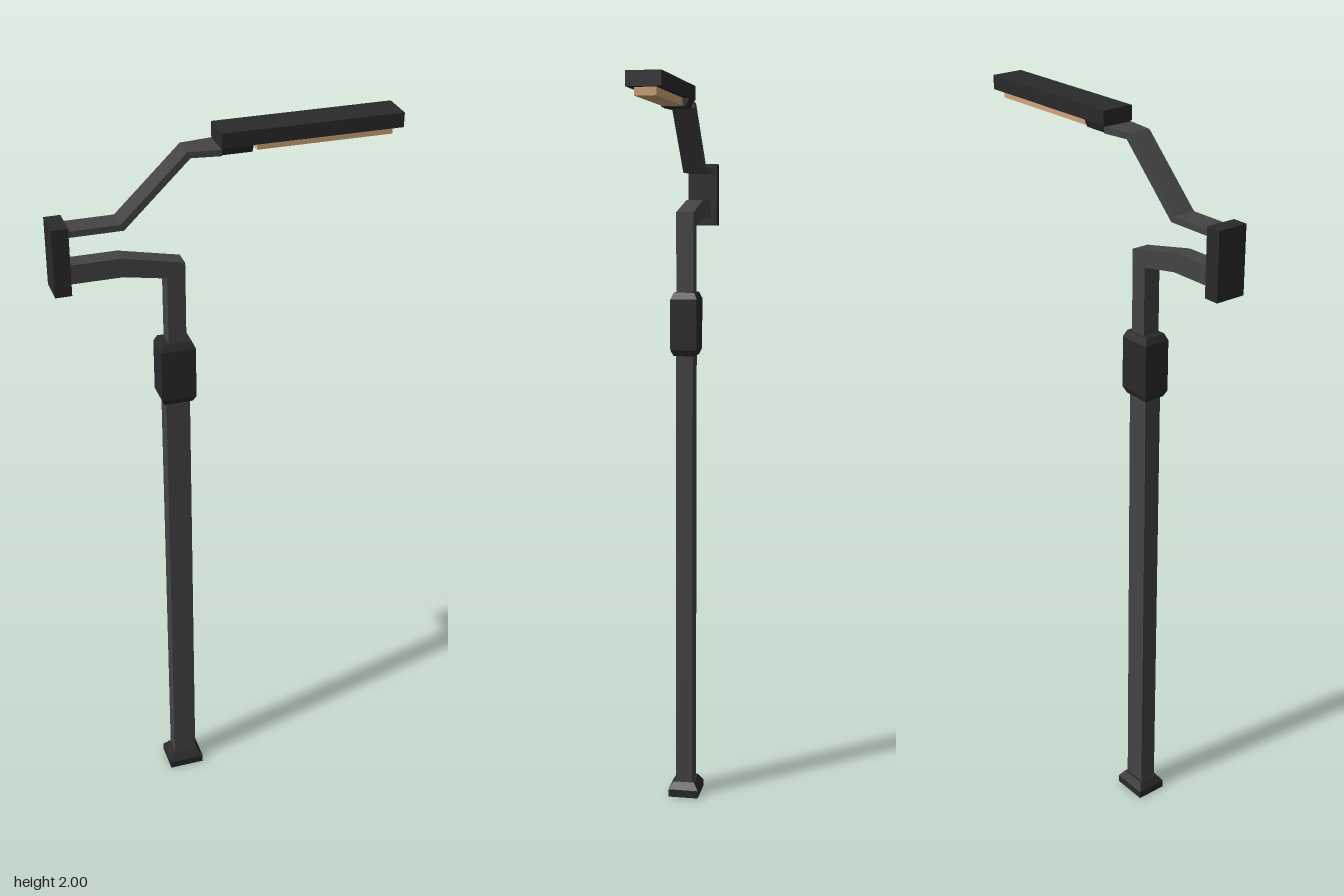
import * as THREE from 'three';

const metal = new THREE.MeshStandardMaterial({ color: 0x444444, flatShading: true });
const dark = new THREE.MeshStandardMaterial({ color: 0x2a2a2a, flatShading: true });
const glow = new THREE.MeshStandardMaterial({ color: 0xd2a679, flatShading: true });

// Lofts a solid through rectangular sections [ax, ay, bx, by, halfDepth];
// a lies on the left of the direction of travel, b on the right.
function loft(sections) {
  const rings = sections.map(([ax, ay, bx, by, hz]) => [
    [ax, ay, -hz], [ax, ay, hz], [bx, by, hz], [bx, by, -hz],
  ]);
  const pos = [];
  const quad = (a, b, c, d) => pos.push(...a, ...b, ...c, ...a, ...c, ...d);
  for (let r = 0; r < rings.length - 1; r++) {
    const lo = rings[r], hi = rings[r + 1];
    for (let i = 0; i < 4; i++) {
      const j = (i + 1) % 4;
      quad(lo[i], lo[j], hi[j], hi[i]);
    }
  }
  const first = rings[0], last = rings[rings.length - 1];
  quad(first[3], first[2], first[1], first[0]);
  quad(last[0], last[1], last[2], last[3]);
  const geo = new THREE.BufferGeometry();
  geo.setAttribute('position', new THREE.Float32BufferAttribute(pos, 3));
  geo.computeVertexNormals();
  return geo;
}

// Upright section: height, centre x, half width, half depth
const level = (y, cx, hx, hz) => [cx - hx, y, cx + hx, y, hz];

export function createModel() {
  const group = new THREE.Group();
  const add = (name, sections, material) => {
    const mesh = new THREE.Mesh(loft(sections), material);
    mesh.name = name;
    group.add(mesh);
  };
  const px = -0.136; // pole axis

  // Foot with bevelled top
  add('base', [
    level(0, px, 0.05, 0.043), level(0.022, px, 0.05, 0.043), level(0.042, px, 0.036, 0.03),
  ], dark);

  add('pole', [level(0.03, px, 0.032, 0.024), level(1.3, px, 0.032, 0.024)], metal);

  // Chamfered sleeve joining the pole and the upper post
  add('collar', [
    level(1.278, px, 0.038, 0.029), level(1.295, px, 0.046, 0.037),
    level(1.435, px, 0.046, 0.037), level(1.453, px, 0.038, 0.029),
  ], dark);

  // Post bending over into the lower arm
  add('lowerArm', [
    [-0.158, 1.44, -0.111, 1.44, 0.024],
    [-0.158, 1.636, -0.111, 1.672, 0.024],
    [-0.268, 1.656, -0.27, 1.706, 0.024],
    [-0.41, 1.656, -0.41, 1.706, 0.024],
  ], metal);

  add('sideBracket', [level(1.634, -0.422, 0.021, 0.042), level(1.81, -0.422, 0.021, 0.042)], dark);

  // Flat stepped arm, flaring where it meets the lamp
  add('upperArm', [
    [-0.41, 1.798, -0.41, 1.782, 0.032],
    [-0.272, 1.798, -0.264, 1.782, 0.032],
    [-0.104, 1.96, -0.096, 1.944, 0.032],
    [-0.022, 1.96, -0.022, 1.944, 0.042],
  ], metal);

  // Lamp head with its tapered mount and light panel
  add('lampMount', [level(1.942, 0.018, 0.04, 0.032), level(1.965, 0.018, 0.04, 0.042)], dark);
  add('lampHousing', [level(1.963, 0.21, 0.232, 0.044), level(2, 0.21, 0.232, 0.044)], dark);
  add('lightPanel', [level(1.943, 0.246, 0.174, 0.027), level(1.966, 0.246, 0.174, 0.027)], glow);

  return group;
}
